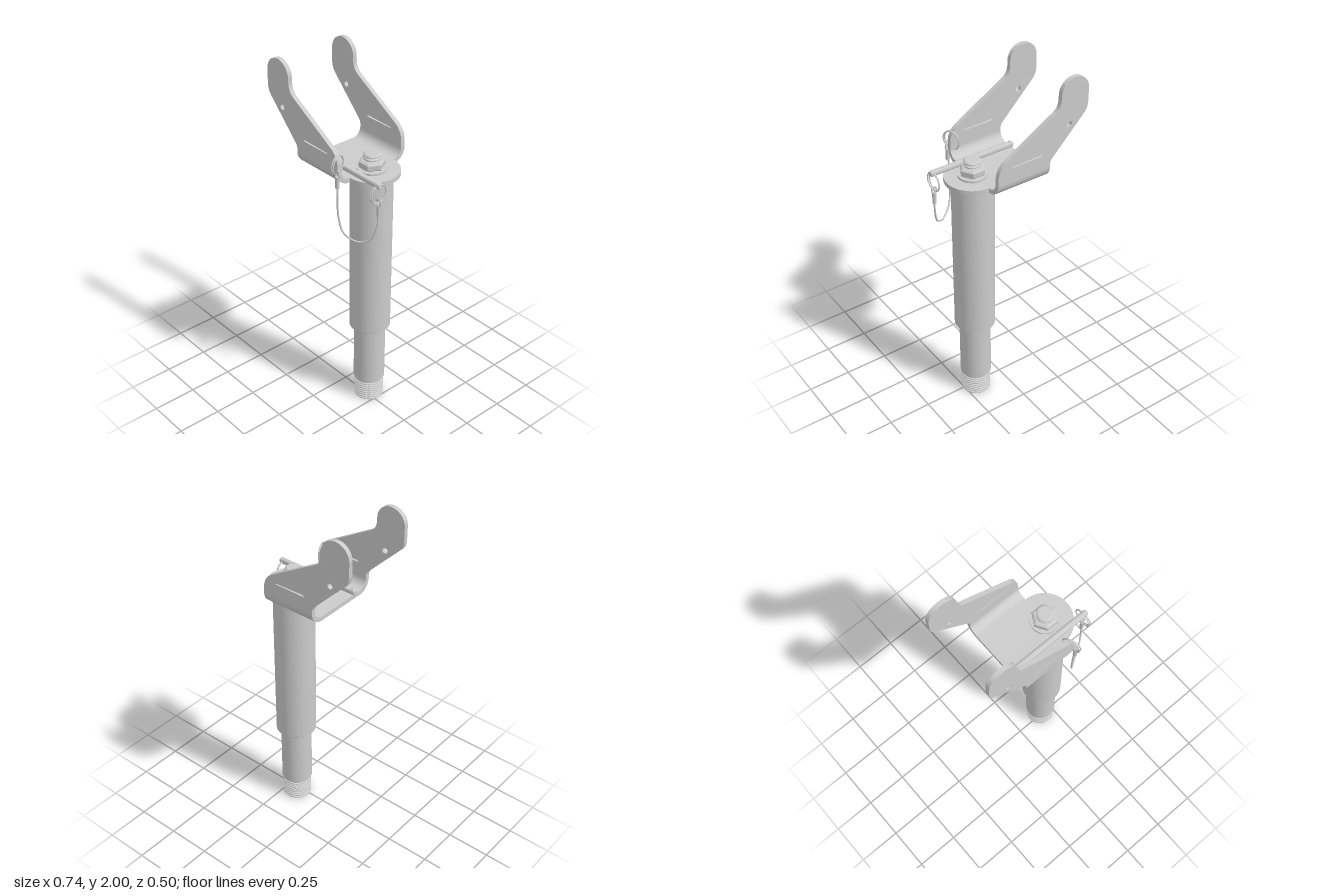
import * as THREE from 'three';
import { toCreasedNormals } from 'three/addons/utils/BufferGeometryUtils.js';

const V = (x, y, z) => new THREE.Vector3(x, y, z);
const AXIS_X = 0.18, AXIS_Z = -0.02;   // post centre line
const BASE = 1.455, PLATE = 0.025;     // underside and thickness of the sheet metal

export function createModel() {
  const model = new THREE.Group();
  model.name = 'forkHeadPost';
  const mat = new THREE.MeshStandardMaterial({ color: 0xcccccc });

  function add(name, geometry, x = 0, y = 0, z = 0, parent = model) {
    const mesh = new THREE.Mesh(toCreasedNormals(geometry, 0.6), mat);
    mesh.name = name;
    mesh.position.set(x, y, z);
    parent.add(mesh);
    return mesh;
  }
  const lathe = (points, segments = 48) =>
    new THREE.LatheGeometry(points.map(([r, y]) => new THREE.Vector2(r, y)), segments);
  const extrude = (shape, depth, curveSegments = 16) =>
    new THREE.ExtrudeGeometry(shape, { depth, bevelEnabled: false, curveSegments });
  // Stacked ridges running from y0 to y1
  function thread(y0, y1, turns, inner, outer) {
    const points = [[0, y0], [inner, y0]];
    const pitch = (y1 - y0) / turns;
    for (let i = 0; i < turns; i++) {
      const y = y0 + i * pitch;
      points.push([outer, y + pitch * 0.3], [outer, y + pitch * 0.65], [inner, y + pitch]);
    }
    points.push([0, y1]);
    return lathe(points, 40);
  }

  // Stepped post with threaded foot
  add('threadedFoot', thread(0, 0.135, 9, 0.07, 0.082), AXIS_X, 0, AXIS_Z);
  add('post', lathe([
    [0, 0.13], [0.083, 0.13], [0.088, 0.135], [0.088, 0.497], [0.108, 0.497],
    [0.114, 0.503], [0.114, 1.45], [0.11, BASE], [0, BASE],
  ]), AXIS_X, 0, AXIS_Z);

  // Fork bracket: U-shaped channel, round tab and two arms
  const bracket = new THREE.Group();
  bracket.name = 'forkBracket';
  bracket.position.z = AXIS_Z;
  model.add(bracket);

  const half = 0.23, bend = 0.075, top = BASE + bend, inner = bend - PLATE;
  const channel = new THREE.Shape();
  channel.moveTo(-half, top);
  channel.absarc(-half + bend, top, bend, Math.PI, Math.PI * 1.5, false);
  channel.absarc(half - bend, top, bend, Math.PI * 1.5, Math.PI * 2, false);
  channel.lineTo(half - PLATE, top);
  channel.absarc(half - bend, top, inner, 0, -Math.PI / 2, true);
  channel.absarc(-half + bend, top, inner, -Math.PI / 2, -Math.PI, true);
  channel.closePath();
  const channelGeometry = extrude(channel, 0.32, 10);
  channelGeometry.rotateY(Math.PI / 2);
  add('channel', channelGeometry, -0.14, 0, 0, bracket);

  const tab = new THREE.Shape();
  tab.absarc(0, 0, 0.15, -Math.PI / 2, Math.PI / 2, false);
  tab.closePath();
  const tabGeometry = extrude(tab, PLATE, 24);
  tabGeometry.rotateX(-Math.PI / 2);
  add('tab', tabGeometry, AXIS_X, BASE, 0, bracket);

  const arm = new THREE.Shape();
  arm.moveTo(-0.14, top);
  arm.lineTo(0.18, top);
  arm.lineTo(0.178, 1.575);
  arm.quadraticCurveTo(0.172, 1.628, 0.127, 1.655);
  arm.lineTo(-0.165, 1.828);
  arm.quadraticCurveTo(-0.2, 1.85, -0.2, 1.9);
  arm.lineTo(-0.2, 1.915);
  arm.absarc(-0.285, 1.915, 0.085, 0, Math.PI, false);
  arm.lineTo(-0.37, 1.84);
  arm.quadraticCurveTo(-0.37, 1.8, -0.345, 1.775);
  arm.lineTo(-0.155, 1.58);
  arm.quadraticCurveTo(-0.14, 1.565, -0.14, 1.55);
  arm.closePath();
  const eye = new THREE.Path();
  eye.absarc(-0.255, 1.742, 0.016, 0, Math.PI * 2, true);
  const slot = new THREE.Path();
  slot.moveTo(-0.09, 1.611);
  slot.lineTo(-0.08, 1.621);
  slot.lineTo(0.095, 1.617);
  slot.lineTo(0.1, 1.611);
  slot.closePath();
  arm.holes.push(eye, slot);
  add('leftArm', extrude(arm, PLATE), 0, 0, half - PLATE, bracket);
  add('rightArm', extrude(arm, PLATE), 0, 0, -half, bracket);

  // Bolt, washer and hexagon nut on top of the post
  const deck = BASE + PLATE;
  add('washer', new THREE.CylinderGeometry(0.079, 0.079, 0.01, 40), AXIS_X, deck + 0.005, AXIS_Z);
  add('nutFlange', new THREE.CylinderGeometry(0.052, 0.06, 0.01, 32), AXIS_X, deck + 0.015, AXIS_Z);
  const nut = add('nut', lathe([
    [0, 0], [0.064, 0], [0.07, 0.006], [0.07, 0.032], [0.058, 0.04], [0, 0.04],
  ], 6), AXIS_X, deck + 0.014, AXIS_Z);
  nut.rotation.y = Math.PI / 2;
  add('boltEnd', thread(1.52, 1.573, 3, 0.037, 0.046), AXIS_X, 0, AXIS_Z);

  // Locking pin lying across the plate
  const pin = add('lockingPin', lathe([
    [0, -0.148], [0.012, -0.148], [0.017, -0.142], [0.017, 0.36], [0.013, 0.366], [0, 0.366],
  ], 24), 0, 1.494, 0.09);
  pin.rotation.z = -Math.PI / 2;
  add('pinCatch', new THREE.SphereGeometry(0.008, 12, 8), -0.13, 1.51, 0.09);

  // Split rings holding the two ends of the lanyard
  function splitRing(name, x, y, z, turn) {
    const group = new THREE.Group();
    group.name = name;
    group.position.set(x, y, z);
    group.rotation.y = Math.PI / 2 + turn;
    for (const side of [-1, 1]) {
      const coil = add('coil', new THREE.TorusGeometry(0.051, 0.0035, 8, 40), 0, 0, side * 0.003, group);
      coil.rotation.y = side * 0.05;
    }
    model.add(group);
  }
  splitRing('pinRing', 0.347, 1.443, 0.087, 0);
  splitRing('armRing', 0.164, 1.572, 0.196, 0.3);

  // Wire lanyard with a crimp and an eye loop at each end
  const path = new THREE.CatmullRomCurve3([
    V(0.18, 1.5, 0.213), V(0.175, 1.4, 0.209), V(0.178, 1.27, 0.203), V(0.2, 1.18, 0.185),
    V(0.262, 1.142, 0.145), V(0.322, 1.175, 0.108), V(0.345, 1.25, 0.09), V(0.349, 1.36, 0.085),
  ]);
  add('lanyard', new THREE.TubeGeometry(path, 64, 0.005, 8), 0, 0, 0);
  const crimp = () => new THREE.CylinderGeometry(0.011, 0.011, 0.065, 16);
  add('pinCrimp', crimp(), 0.349, 1.345, 0.085);
  add('armCrimp', crimp(), 0.18, 1.485, 0.213);
  const loop = (name, x, y, z) => {
    const mesh = add(name, new THREE.TorusGeometry(0.013, 0.004, 8, 20), x, y, z);
    mesh.scale.y = 1.5;
  };
  loop('pinLoop', 0.349, 1.392, 0.085);
  loop('armLoop', 0.18, 1.528, 0.211);

  return model;
}
